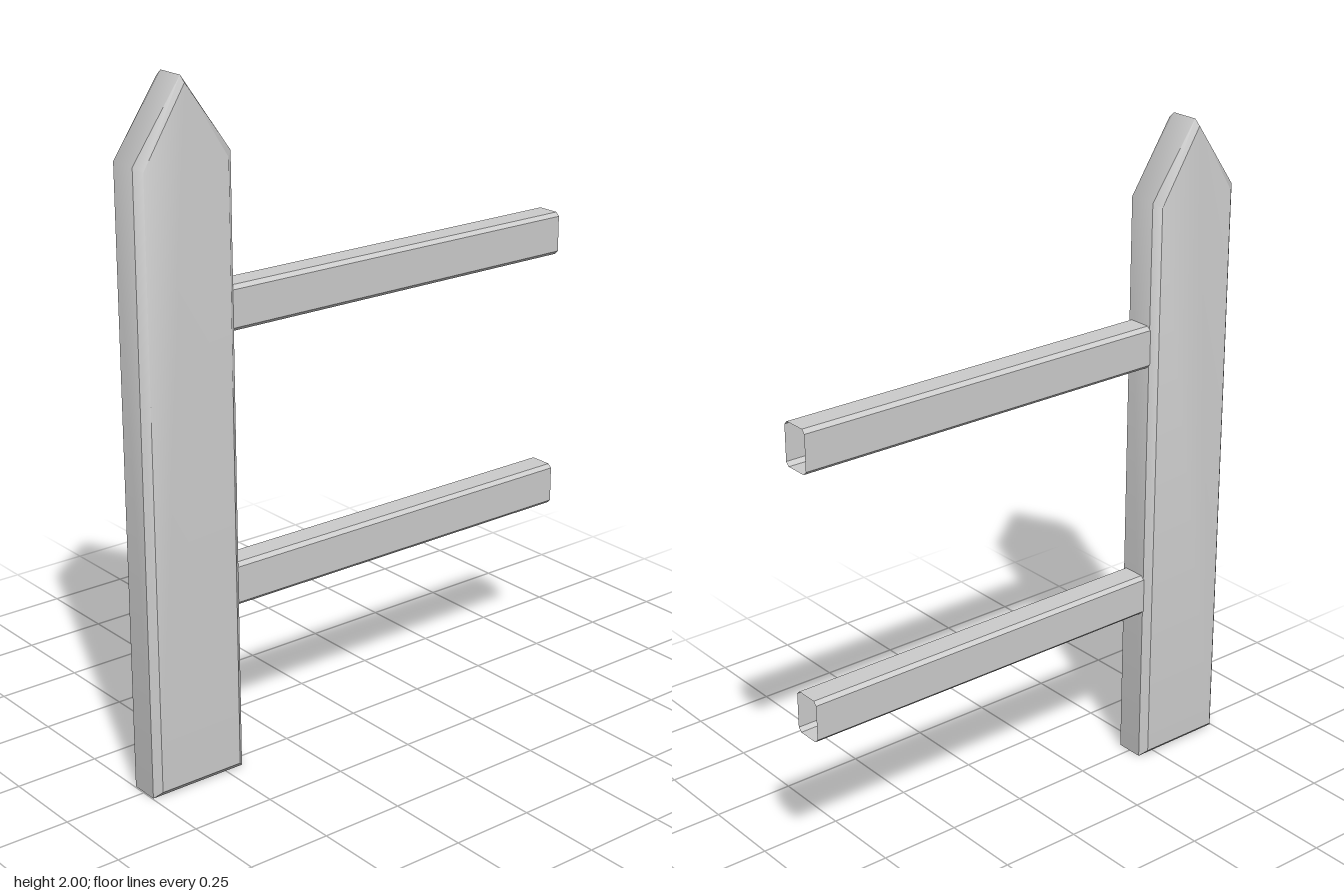
import * as THREE from 'three';
import { toCreasedNormals } from 'three/addons/utils/BufferGeometryUtils.js';

// Skin a row of equal-length, anticlockwise loops along +z; optionally cap both ends
function loft(loops, capped) {
  const n = loops[0].length;
  const index = [];
  for (let s = 0; s < loops.length - 1; s++) {
    for (let i = 0; i < n; i++) {
      const a = s * n + i;
      const b = s * n + (i + 1) % n;
      index.push(a, b, b + n, a, b + n, a + n);
    }
  }
  if (capped) {
    const last = (loops.length - 1) * n;
    for (let i = 1; i < n - 1; i++) {
      index.push(0, i + 1, i, last, last + i, last + i + 1);
    }
  }
  const geometry = new THREE.BufferGeometry();
  geometry.setAttribute('position', new THREE.Float32BufferAttribute(loops.flat(2), 3));
  geometry.setIndex(index);
  return toCreasedNormals(geometry, THREE.MathUtils.degToRad(40));
}

// Pointed picket with chamfered front and back edges
function createPost(material) {
  const outer = [[-0.152, 0], [0.152, 0], [0.152, 1.785], [0, 2], [-0.152, 1.785]];
  const inner = [[-0.132, 0.02], [0.132, 0.02], [0.132, 1.772], [0, 1.983], [-0.132, 1.772]];
  const at = (outline, z) => outline.map(([x, y]) => [x, y, z]);
  const loops = [at(inner, -0.062), at(outer, -0.043), at(outer, 0.043), at(inner, 0.062)];
  const post = new THREE.Mesh(loft(loops, true), material);
  post.name = 'post';
  post.position.x = -0.595;
  return post;
}

// Hollow rail: chamfered rectangle section, open at its ends
function createRail(name, y, material) {
  const w = 0.045, h = 0.064, c = 0.011, length = 1.19;
  const section = [
    [w - c, -h], [w, -h + c], [w, h - c], [w - c, h],
    [-w + c, h], [-w, h - c], [-w, -h + c], [-w + c, -h],
  ];
  const loops = [0, length].map(z => section.map(([x, v]) => [x, v, z]));
  const rail = new THREE.Mesh(loft(loops, false), material);
  rail.name = name;
  rail.rotation.y = Math.PI / 2;
  rail.position.set(-0.445, y, 0);
  return rail;
}

export function createModel() {
  const solid = new THREE.MeshStandardMaterial({ color: 0xcccccc });
  const open = new THREE.MeshStandardMaterial({ color: 0xcccccc, side: THREE.DoubleSide });
  const fence = new THREE.Group();
  fence.name = 'fenceSection';
  fence.add(
    createPost(solid),
    createRail('lowerRail', 0.56, open),
    createRail('upperRail', 1.356, open),
  );
  return fence;
}
